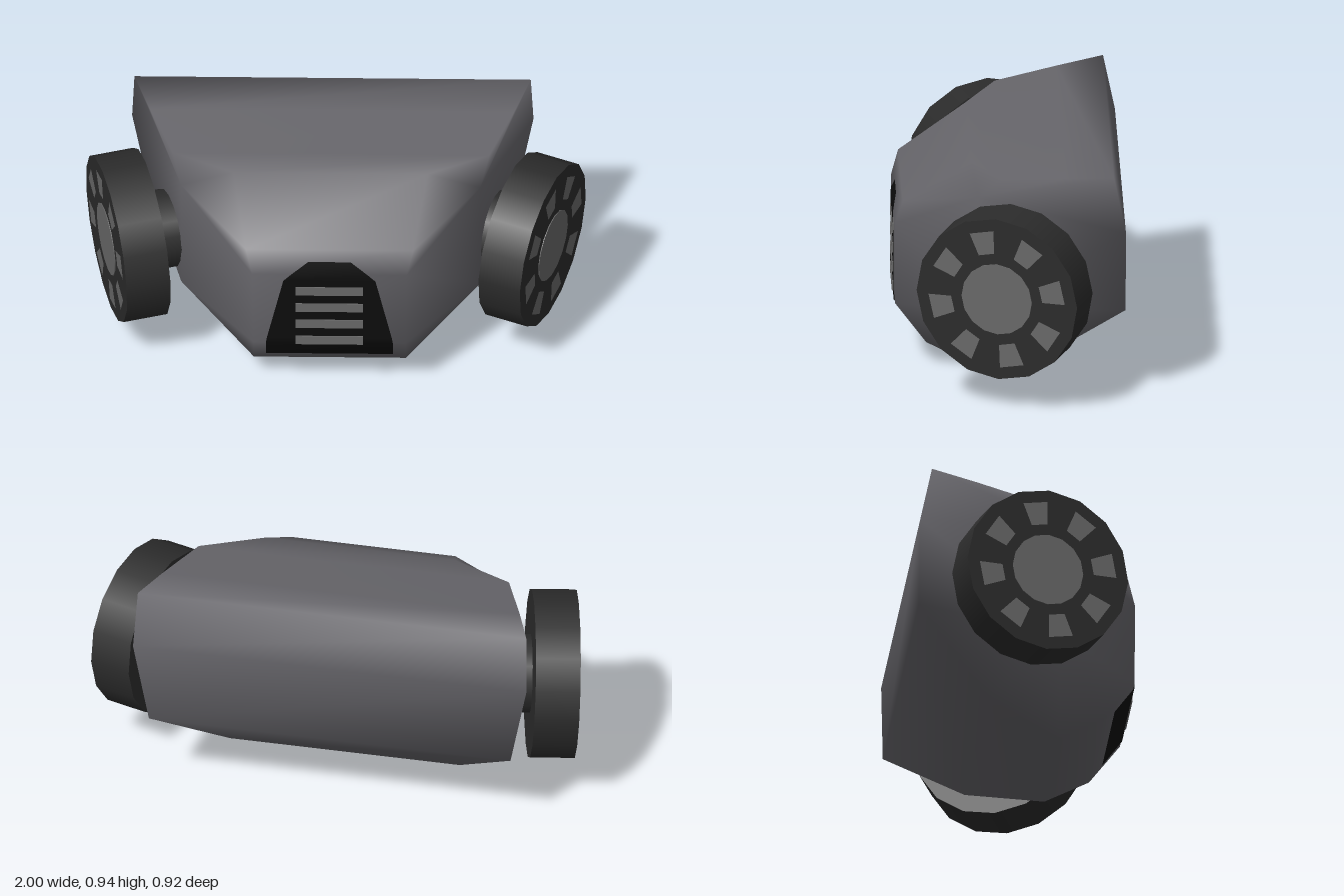
import * as THREE from 'three';

const paint = (color, extra = {}) => new THREE.MeshStandardMaterial({ color, ...extra });
const bodyMat = paint(0x66656a);
const wheelMat = paint(0x2c2c2c);
const lightMat = paint(0x6a6a6a);
const panelMat = paint(0x0d0d0d, { side: THREE.DoubleSide });
const CENTER_X = -0.015;

function addMesh(parent, name, geometry, material) {
  const mesh = new THREE.Mesh(geometry, material);
  mesh.name = name;
  parent.add(mesh);
  return mesh;
}

function indexed(points, index) {
  const g = new THREE.BufferGeometry();
  g.setAttribute('position', new THREE.Float32BufferAttribute(points.flat(), 3));
  g.setIndex(index);
  g.computeVertexNormals();
  return g;
}

// Smooth hull: a closed side profile of [z, y, half width], with each side
// closed by fans around an upper and a lower knee point
function hullGeometry() {
  const profile = [
    [-0.41, 0.94, 0.795], [-0.22, 0.918, 0.73], [0.03, 0.888, 0.635], [0.15, 0.88, 0.39],
    [0.425, 0.70, 0.335], [0.455, 0.60, 0.31], [0.455, 0.26, 0.305], [0.33, 0.095, 0.305],
    [0.15, 0.0, 0.3], [-0.155, 0.095, 0.47], [-0.458, 0.365, 0.74], [-0.458, 0.71, 0.805],
  ];
  const knees = [[0.13, 0.80, 0.6], [0.13, 0.32, 0.6]];
  const n = profile.length;
  const all = [...profile, ...knees];
  const m = all.length;
  const points = [1, -1].flatMap((s) => all.map(([z, y, w]) => [s * w, y, z]));
  const index = [];
  const sideFace = (a, b, c) => index.push(a, b, c, m + a, m + c, m + b);
  const [upper, lower] = [n, n + 1];
  for (let i = 0; i < n; i++) {
    const j = (i + 1) % n;
    index.push(i, m + i, m + j, i, m + j, j);
    sideFace(i >= 5 && i <= 10 ? lower : upper, i, j);
  }
  sideFace(upper, 5, lower);
  sideFace(lower, 11, upper);
  return indexed(points, index);
}

// Front panel following the hull: rows of [y, half width, z]
function panelGeometry() {
  const rows = [
    [0.15, 0.255, 0.379], [0.26, 0.255, 0.459], [0.29, 0.25, 0.459],
    [0.57, 0.185, 0.459], [0.60, 0.155, 0.459], [0.655, 0.085, 0.445],
  ];
  const points = rows.flatMap(([y, w, z]) => [[-w, y, z], [w, y, z]]);
  const index = [];
  for (let i = 0; i < rows.length - 1; i++) {
    const a = 2 * i;
    index.push(a, a + 1, a + 3, a, a + 3, a + 2);
  }
  return indexed(points, index);
}

// Wheel with its outer face at the origin, facing local +x
function makeWheel(name) {
  const wheel = new THREE.Group();
  wheel.name = name;
  const disc = (part, r, length, x, mat) => {
    const g = new THREE.CylinderGeometry(r, r, length, 16);
    g.rotateZ(-Math.PI / 2);
    addMesh(wheel, part, g, mat).position.x = x;
  };
  disc('tire', 0.343, 0.18, -0.09, wheelMat);
  disc('axle', 0.16, 0.11, -0.23, wheelMat);
  disc('hubCap', 0.15, 0.01, -0.002, lightMat);

  // Ring of eight trapezoid inlays
  const shape = new THREE.Shape([
    [-0.034, 0.192], [0.034, 0.192], [0.052, 0.287], [-0.052, 0.287],
  ].map(([x, y]) => new THREE.Vector2(x, y)));
  const inlay = new THREE.ShapeGeometry(shape);
  inlay.rotateY(Math.PI / 2);
  for (let k = 0; k < 8; k++) {
    const mesh = addMesh(wheel, 'wheelInlay', inlay, lightMat);
    mesh.position.x = 0.003;
    mesh.rotation.x = THREE.MathUtils.degToRad(12 + 45 * k);
  }
  return wheel;
}

export function createModel() {
  const model = new THREE.Group();
  model.name = 'wheeledBase';

  const body = new THREE.Group();
  body.name = 'body';
  body.position.x = CENTER_X;
  model.add(body);
  addMesh(body, 'hull', hullGeometry(), bodyMat);
  addMesh(body, 'frontPanel', panelGeometry(), panelMat);

  // Grille bars
  for (let i = 0; i < 4; i++) {
    const bar = addMesh(body, 'grilleBar', new THREE.BoxGeometry(0.27, 0.04, 0.02), lightMat);
    bar.position.set(0, 0.277 + i * 0.081, 0.453);
  }

  // Wheels, toed outward by slightly different angles
  const leftWheel = makeWheel('leftWheel');
  leftWheel.position.set(0.875, 0.465, 0.0625);
  leftWheel.rotation.set(0, -0.38, -0.05);
  const rightWheel = makeWheel('rightWheel');
  rightWheel.position.set(-0.915, 0.465, 0.047);
  rightWheel.rotation.set(0, Math.PI + 0.253, -0.05);
  model.add(leftWheel, rightWheel);

  return model;
}
